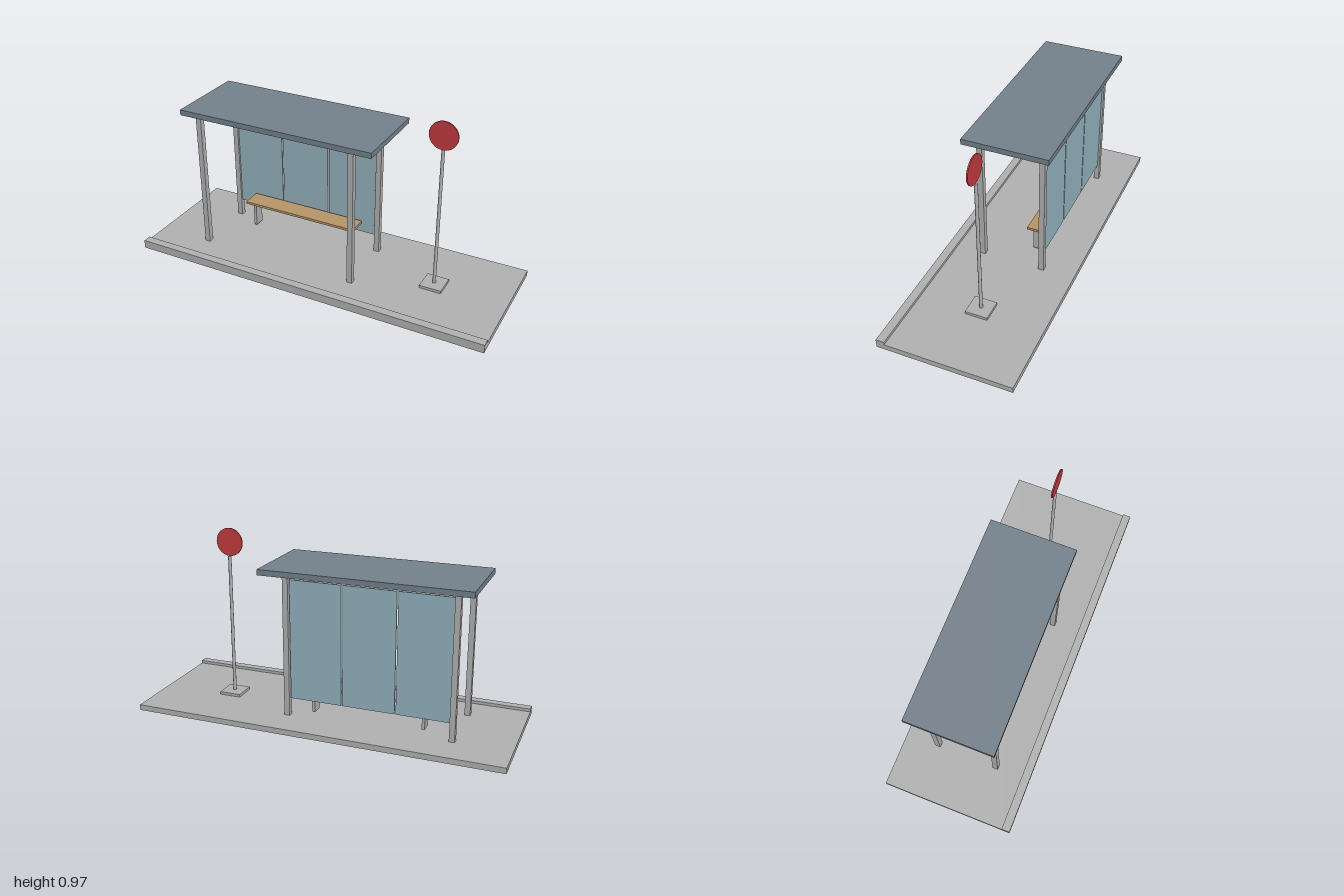
import * as THREE from 'three';

const material = (name, color) => {
  const m = new THREE.MeshStandardMaterial({ color });
  m.name = name;
  return m;
};

export function createModel() {
  const model = new THREE.Group();
  model.name = 'busStop';

  const concrete = material('grey', 0xb2b2b2);
  const slate = material('slate', 0x74818c);
  const glass = material('paleBlue', 0x94b3be);
  const wood = material('wood', 0xb8966a);
  const red = material('red', 0xc23b40);

  const add = (name, geometry, mat, x, y, z) => {
    const mesh = new THREE.Mesh(geometry, mat);
    mesh.name = name;
    mesh.position.set(x, y, z);
    model.add(mesh);
    return mesh;
  };
  // Box given by its minimum and maximum along each axis
  const box = (name, mat, [x0, x1], [y0, y1], [z0, z1]) =>
    add(name, new THREE.BoxGeometry(x1 - x0, y1 - y0, z1 - z0), mat,
      (x0 + x1) / 2, (y0 + y1) / 2, (z0 + z1) / 2);

  // Pavement with a raised kerb along the front
  const pavement = new THREE.Shape([
    [-0.361, 0], [0.361, 0], [0.361, 0.047], [0.316, 0.047], [0.316, 0.031], [-0.361, 0.031],
  ].map(([z, y]) => new THREE.Vector2(-z, y)));
  const slab = new THREE.ExtrudeGeometry(pavement, { depth: 2, bevelEnabled: false });
  slab.translate(0, 0, -1).rotateY(Math.PI / 2);
  add('pavement', slab, concrete, 0, 0, 0);

  // Shelter posts and roof
  for (const x of [-0.695, 0.197])
    for (const z of [0.163, -0.177])
      box('post', concrete, [x - 0.015, x + 0.015], [0.031, 0.802], [z - 0.015, z + 0.015]);
  box('roof', slate, [-0.786, 0.321], [0.802, 0.832], [-0.254, 0.207]);

  // Three rear panes with narrow gaps
  for (let i = 0; i < 3; i++) {
    const x = -0.68 + i * 0.288;
    box('glassPane', glass, [x, x + 0.281], [0.128, 0.775], [-0.181, -0.173]);
  }

  // Bench
  box('benchSeat', wood, [-0.575, 0.105], [0.187, 0.201], [-0.163, -0.053]);
  for (const x of [-0.533, 0.067])
    box('benchLeg', concrete, [x - 0.008, x + 0.008], [0.047, 0.187], [-0.137, -0.077]);

  // Stop sign post: foot plate, pole and round plate
  box('signFoot', concrete, [0.54, 0.66], [0.031, 0.046], [-0.072, 0.05]);
  add('signPole', new THREE.CylinderGeometry(0.009, 0.009, 0.772, 12), concrete, 0.6, 0.432, -0.011);
  const disc = new THREE.CylinderGeometry(0.076, 0.076, 0.007, 32).rotateX(Math.PI / 2);
  add('signDisc', disc, red, 0.6, 0.895, -0.006);

  return model;
}
